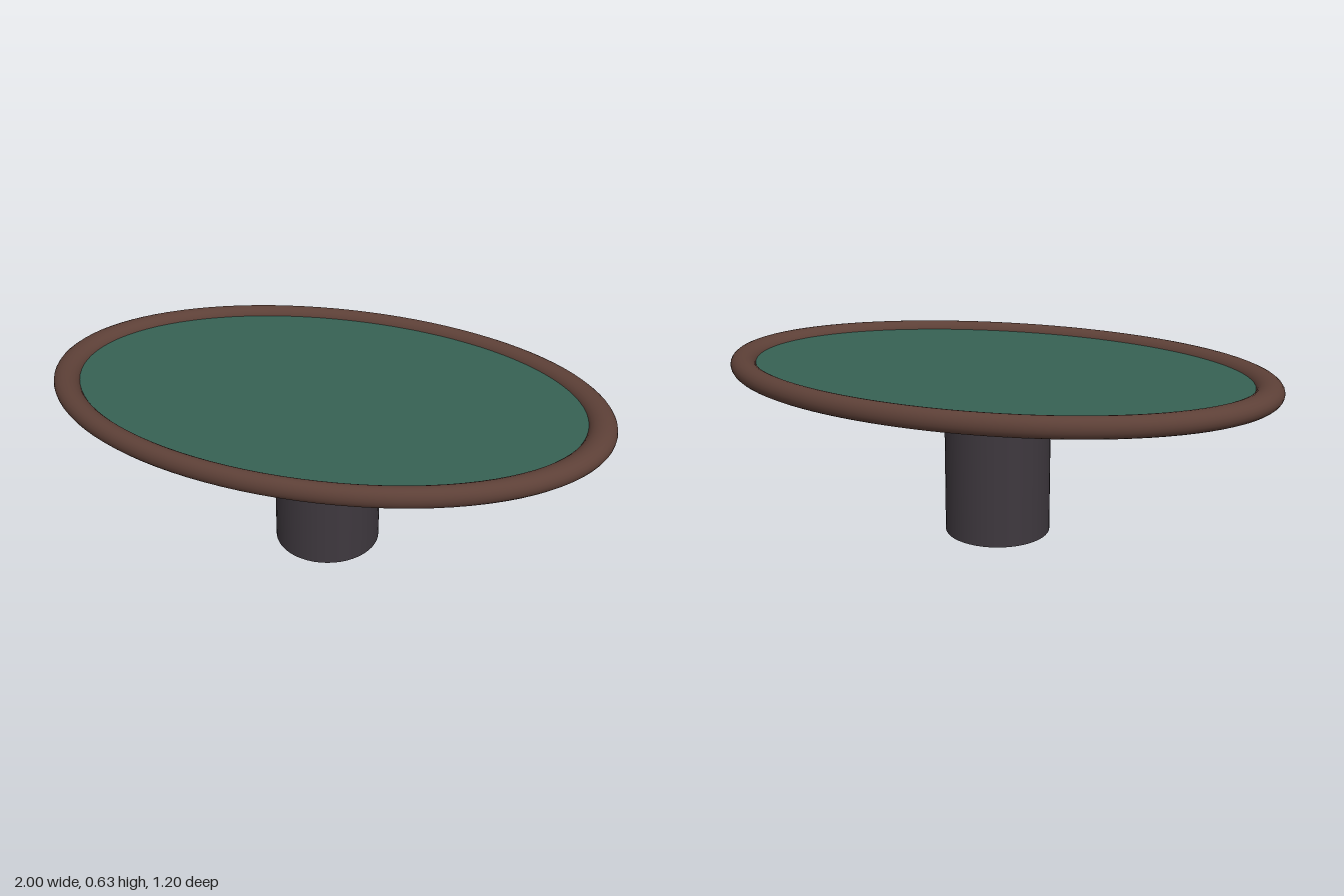
import * as THREE from 'three';

const DEPTH = 0.6; // oval depth relative to its width

export function createModel() {
  const wood = new THREE.MeshStandardMaterial({ color: 0x5d4037 });
  wood.name = 'brown wood';
  const felt = new THREE.MeshStandardMaterial({ color: 0x366154 });
  felt.name = 'green felt';
  const dark = new THREE.MeshStandardMaterial({ color: 0x3e383e });
  dark.name = 'dark charcoal';

  const model = new THREE.Group();
  model.name = 'ovalTable';
  const add = (name, geometry, material, y) => {
    const mesh = new THREE.Mesh(geometry, material);
    mesh.name = name;
    mesh.position.y = y;
    model.add(mesh);
  };

  // Round central column
  add('pedestal', new THREE.CylinderGeometry(0.19, 0.19, 0.56, 48), dark, 0.28);

  // Oval playing surface, slightly recessed inside the rim
  const top = new THREE.CylinderGeometry(0.952, 0.952, 0.05, 96);
  top.scale(1, 1, DEPTH);
  add('tableTop', top, felt, 0.575);

  // Padded rim: a ring squashed to the same oval
  const rim = new THREE.TorusGeometry(0.95, 0.05, 20, 96);
  rim.rotateX(Math.PI / 2);
  rim.scale(1, 0.76, DEPTH);
  add('rim', rim, wood, 0.589);

  return model;
}
